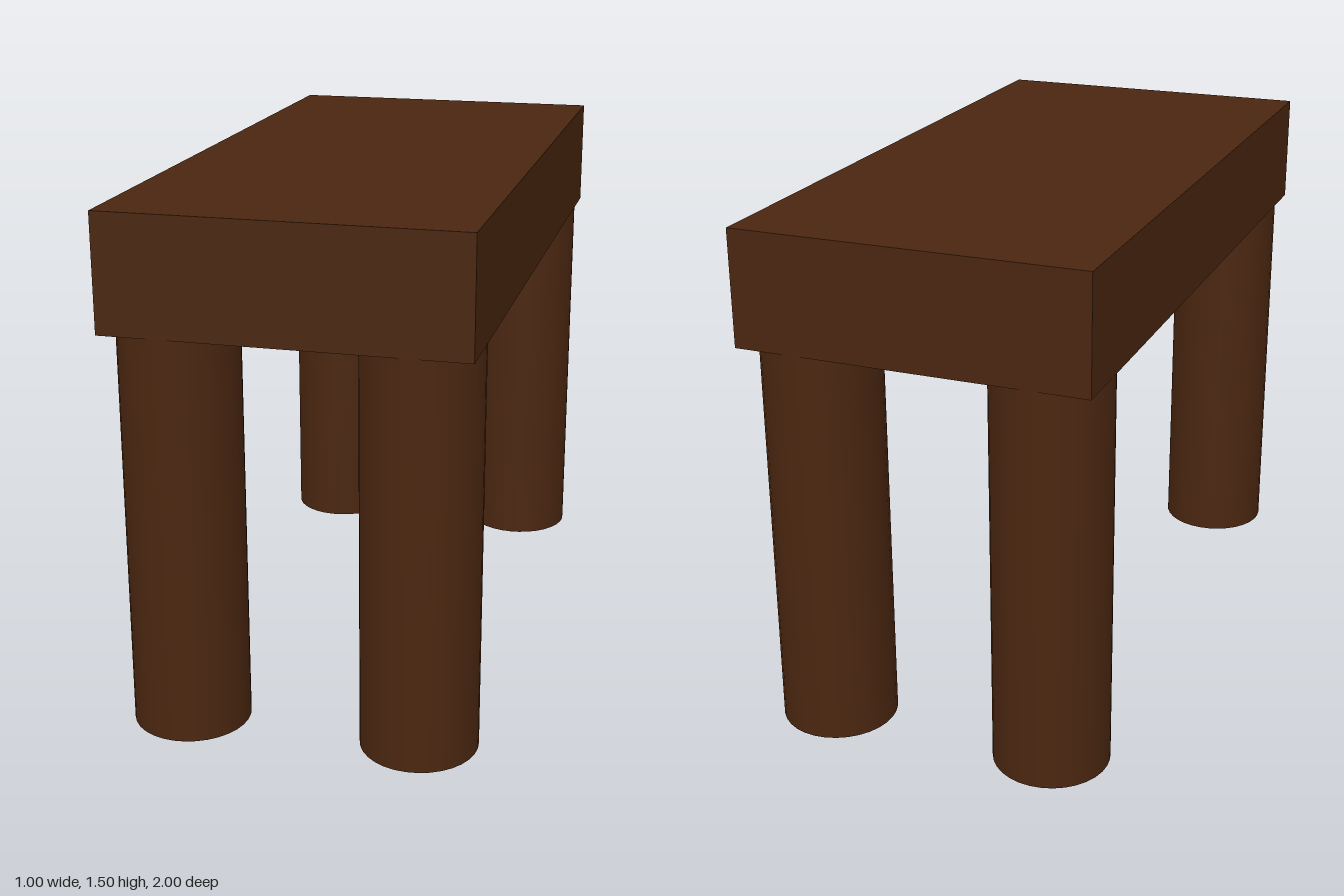
import * as THREE from 'three';

export function createModel() {
  const model = new THREE.Group();
  model.name = 'table';
  const wood = new THREE.MeshStandardMaterial({ color: 0x4a2610 });
  wood.name = 'dark wood';

  const height = 1.5, thickness = 0.33, legRadius = 0.1667;
  const legHeight = height - thickness;

  // Thick slab top
  const top = new THREE.Mesh(new THREE.BoxGeometry(1, thickness, 2), wood);
  top.name = 'tableTop';
  top.position.y = height - thickness / 2;
  model.add(top);

  // Four round legs, flush with the edges of the top
  const legGeometry = new THREE.CylinderGeometry(legRadius, legRadius, legHeight, 32);
  for (const [endName, z] of [['front', 1], ['back', -1]]) {
    for (const [sideName, x] of [['Left', 1], ['Right', -1]]) {
      const leg = new THREE.Mesh(legGeometry, wood);
      leg.name = `${endName}${sideName}Leg`;
      leg.position.set(x * (0.5 - legRadius), legHeight / 2, z * (1 - legRadius));
      model.add(leg);
    }
  }
  return model;
}
